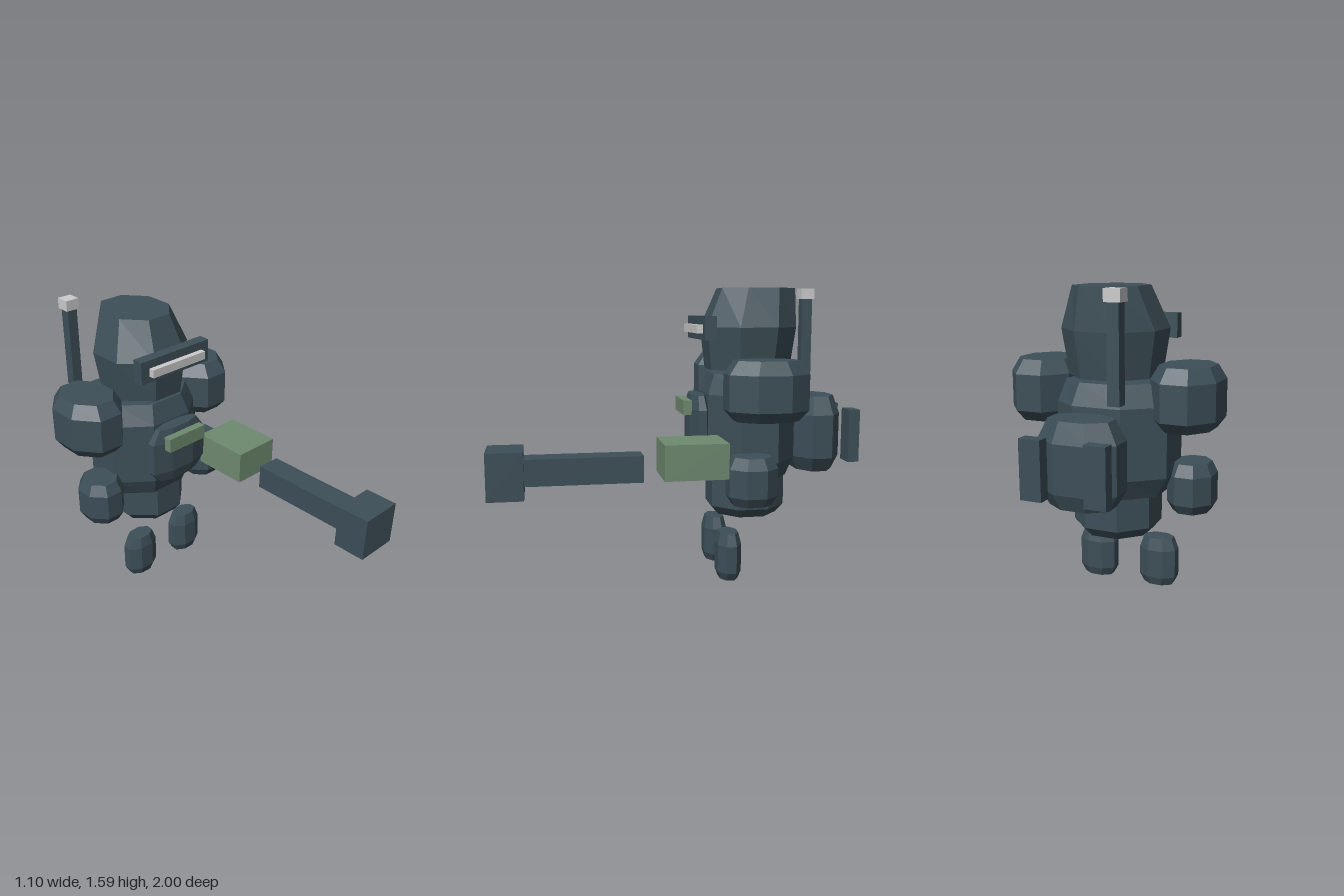
import * as THREE from 'three';

const armour = new THREE.MeshStandardMaterial({ color: 0x3d4f58 });
armour.name = 'blue grey armour';
const green = new THREE.MeshStandardMaterial({ color: 0x6f8a70 });
green.name = 'sage green';
const light = new THREE.MeshStandardMaterial({ color: 0xcccccc });
light.name = 'light grey';

const OUT = 1 / Math.cos(Math.PI / 8); // corner radius of an octagon with unit half width

// Faceted octagonal body; each ring is [y, half width, half depth, centre z], bottom to top
function octagonBody(name, x, rings) {
  const first = rings[0], last = rings[rings.length - 1];
  const all = [[first[0], 0, 0, first[3]], ...rings, [last[0], 0, 0, last[3]]];
  const profile = all.map((r) => new THREE.Vector2(r[1] ? OUT : 0, r[0]));
  const lathe = new THREE.LatheGeometry(profile, 8, Math.PI / 8);
  const pos = lathe.attributes.position;
  for (let i = 0; i < pos.count; i++) {
    const [y, rx, rz, cz] = all[i % all.length];
    pos.setXYZ(i, pos.getX(i) * rx, y, pos.getZ(i) * rz + cz);
  }
  const geometry = lathe.toNonIndexed();
  geometry.computeVertexNormals();
  const mesh = new THREE.Mesh(geometry, armour);
  mesh.name = name;
  mesh.position.x = x;
  return mesh;
}

// Octagonal body with bevelled ends; ys = bottom, lower bevel, upper bevel, top
function bevelled(name, x, z, rx, rz, ys, cap = 0.77) {
  const scale = [cap, 1, 1, cap];
  return octagonBody(name, x, ys.map((y, i) => [y, rx * scale[i], rz * scale[i], z]));
}

// Box given by its limits on each axis
function block(name, material, [x0, x1], [y0, y1], [z0, z1]) {
  const mesh = new THREE.Mesh(new THREE.BoxGeometry(x1 - x0, y1 - y0, z1 - z0), material);
  mesh.name = name;
  mesh.position.set((x0 + x1) / 2, (y0 + y1) / 2, (z0 + z1) / 2);
  return mesh;
}

export function createModel() {
  const model = new THREE.Group();
  model.name = 'robot';

  // Body
  model.add(
    octagonBody('head', 0, [
      [1.14, 0.215, 0.22, -0.41],
      [1.37, 0.25, 0.247, -0.412],
      [1.58, 0.172, 0.204, -0.455],
    ]),
    octagonBody('torso', 0, [
      [0.55, 0.25, 0.205, -0.408],
      [0.655, 0.31, 0.243, -0.408],
      [1.01, 0.31, 0.243, -0.408],
      [1.12, 0.25, 0.205, -0.408],
    ]),
    bevelled('pelvis', 0, -0.405, 0.21, 0.205, [0.33, 0.38, 0.56, 0.61], 0.81),
    bevelled('chestPlate', 0, -0.125, 0.187, 0.052, [0.68, 0.745, 0.93, 1.005], 0.72),
    bevelled('backpack', 0, -0.795, 0.203, 0.135, [0.57, 0.65, 0.89, 0.99], 0.76),
  );

  // Paired limbs and thrusters
  for (const [side, s] of [['left', 1], ['right', -1]]) {
    model.add(
      bevelled(side + 'Shoulder', s * 0.385, -0.412, 0.166, 0.21, [0.9, 0.955, 1.14, 1.21]),
      bevelled(side + 'Hand', s * 0.384, -0.342, 0.117, 0.128, [0.46, 0.51, 0.655, 0.715]),
      bevelled(side + 'Foot', s * 0.176, -0.27, 0.1, 0.065, [0, 0.045, 0.195, 0.26]),
      block(side + 'Thruster', armour, s > 0 ? [0.105, 0.215] : [-0.22, -0.11], [0.63, 0.92], [-1, -0.938]),
    );
  }

  // Face and chest details
  model.add(
    block('visor', armour, [-0.237, 0.235], [1.305, 1.43], [-0.185, -0.122]),
    block('visorLight', light, [-0.184, 0.182], [1.34, 1.385], [-0.13, -0.09]),
    block('chestBadge', green, [-0.13, 0.125], [0.9, 0.98], [-0.075, -0.03]),
  );

  // Antenna behind the backpack
  model.add(
    block('antenna', armour, [-0.214, -0.154], [1.065, 1.53], [-0.84, -0.78]),
    block('antennaTip', light, [-0.226, -0.144], [1.525, 1.585], [-0.85, -0.77]),
  );

  // Hand cannon on the left side
  model.add(
    block('cannonBody', green, [0.247, 0.52], [0.625, 0.807], [-0.19, 0.137]),
    block('cannonBarrel', armour, [0.314, 0.45], [0.61, 0.745], [0.23, 0.82]),
    block('cannonMuzzle', armour, [0.263, 0.503], [0.552, 0.79], [0.82, 1]),
  );

  return model;
}
